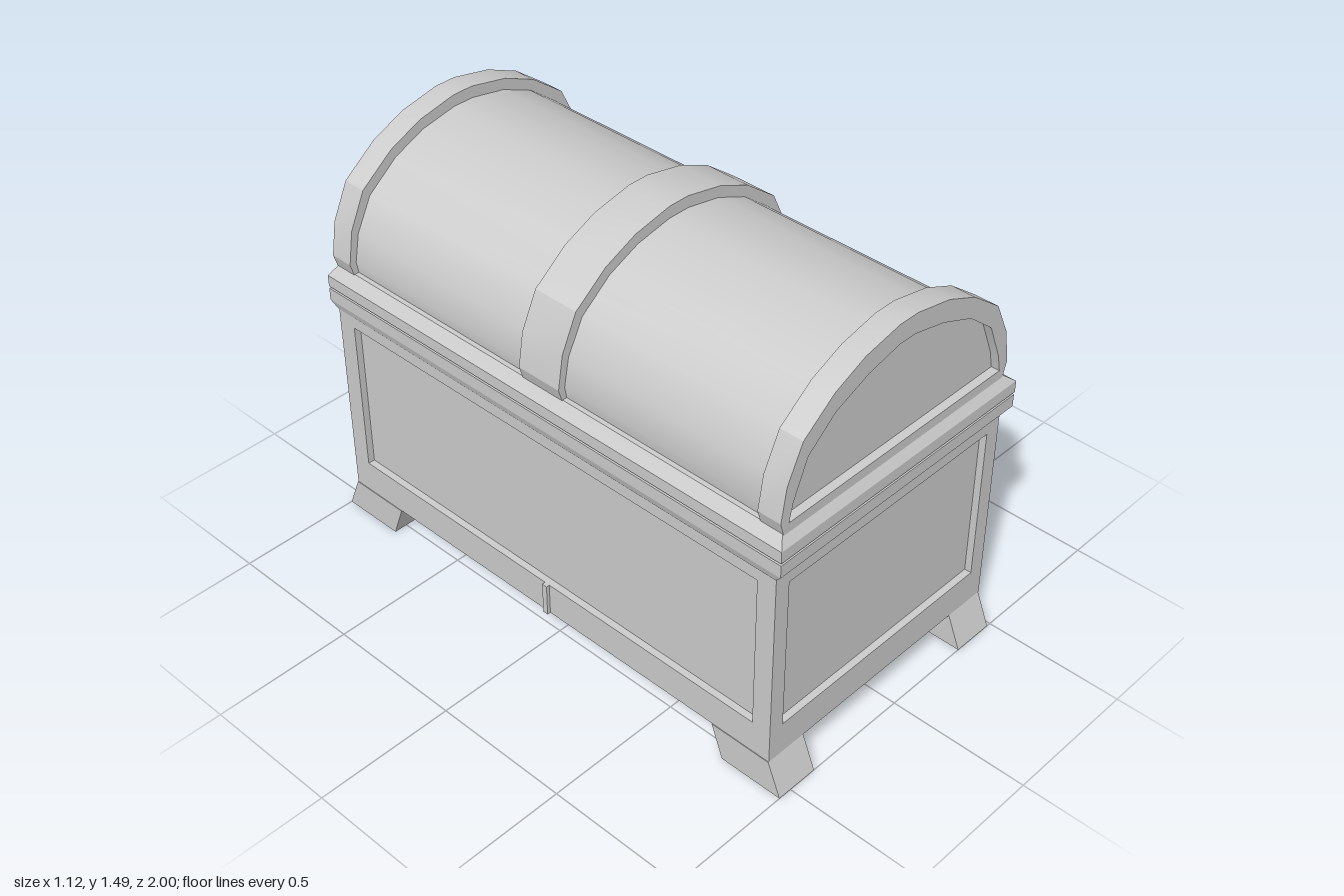
import * as THREE from 'three';
import { toCreasedNormals } from 'three/addons/utils/BufferGeometryUtils.js';

const CX = -0.03; // middle of the chest body in x
const material = new THREE.MeshStandardMaterial({ color: 0xcccccc });

export function createModel() {
  const chest = new THREE.Group();

  const add = (name, geometry) => {
    const mesh = new THREE.Mesh(geometry, material);
    mesh.name = name;
    chest.add(mesh);
    return mesh;
  };

  // Box whose bottom and top rectangles differ: [y, x0, x1, z0, z1]
  const taperBox = (bottom, top) => {
    const g = new THREE.BoxGeometry(1, 1, 1).toNonIndexed();
    const p = g.attributes.position;
    for (let i = 0; i < p.count; i++) {
      const [y, x0, x1, z0, z1] = p.getY(i) > 0 ? top : bottom;
      p.setXYZ(i, p.getX(i) > 0 ? x1 : x0, y, p.getZ(i) > 0 ? z1 : z0);
    }
    g.computeVertexNormals();
    return g;
  };

  const points = (list) => list.map(([x, y]) => new THREE.Vector2(x, y));

  // Extrude a profile along z between z0 and z1
  const extrude = (shape, z0, z1, crease = 0.3) => {
    const g = new THREE.ExtrudeGeometry(shape, { depth: z1 - z0, bevelEnabled: false, curveSegments: 8 });
    g.translate(0, 0, z0);
    return toCreasedNormals(g, crease);
  };

  // Mirror half an arch about the middle of the chest
  const arch = (half) => points([
    ...half.map(([x, y]) => [CX + x, y]),
    ...half.slice().reverse().map(([x, y]) => [CX - x, y]),
  ]);

  // Body core and recessed panel frames
  const core = new THREE.BoxGeometry(0.985, 0.74, 1.85);
  core.translate(CX, 0.49, 0);
  add('bodyCore', core);

  const frame = (halfWidth, halfHole) => {
    const shape = new THREE.Shape(points([
      [-halfWidth, 0.12], [halfWidth, 0.12], [halfWidth, 0.86], [-halfWidth, 0.86]]));
    shape.holes.push(new THREE.Path(points([
      [-halfHole, 0.24], [-halfHole, 0.81], [halfHole, 0.81], [halfHole, 0.24]])));
    return extrude(shape, -0.025, 0);
  };
  for (const s of [1, -1]) {
    const end = add(s > 0 ? 'frontFrame' : 'backFrame', frame(0.5175, 0.46));
    end.position.set(CX, 0, s * 0.95);
    end.rotation.y = s > 0 ? 0 : Math.PI;
    const side = add(s > 0 ? 'leftFrame' : 'rightFrame', frame(0.95, 0.88));
    side.position.x = CX + s * 0.5175;
    side.rotation.y = s * Math.PI / 2;
  }

  // Flared feet
  for (const [x0, x1] of [[-0.55, -0.39], [0.33, 0.485]]) {
    add('foot', taperBox([0, x0, x1, 0.765, 1], [0.12, x0, x1, 0.72, 0.95]));
    add('foot', taperBox([0, x0, x1, -1, -0.765], [0.12, x0, x1, -0.95, -0.72]));
  }

  // Moulded rims of body and lid with a narrow gap between them
  const ring = (y, x0, x1, z) => [y, x0, x1, -z, z];
  const rims = [
    ['bodyRimFlare', ring(0.855, -0.55, 0.485, 0.95), ring(0.885, -0.56, 0.515, 0.975)],
    ['bodyRim', ring(0.885, -0.56, 0.515, 0.975), ring(0.93, -0.56, 0.515, 0.975)],
    ['rimGap', ring(0.93, -0.55, 0.49, 0.955), ring(0.938, -0.55, 0.49, 0.955)],
    ['lidRim', ring(0.938, -0.56, 0.518, 0.975), ring(0.98, -0.56, 0.518, 0.975)],
    ['lidRimSlope', ring(0.98, -0.56, 0.518, 0.975), ring(1.018, -0.53, 0.47, 0.95)],
  ];
  for (const [name, bottom, top] of rims) add(name, taperBox(bottom, top));

  // Rounded lid
  const dome = [[0.48, 1.0], [0.49, 1.06], [0.47, 1.16], [0.41, 1.275],
    [0.295, 1.365], [0.175, 1.417], [0.04, 1.443]];
  add('lidDome', extrude(new THREE.Shape(arch(dome)), -0.925, 0.925, 0.7));

  // Raised arches at both ends and the middle strap
  const outer = [[0.5, 1.01], [0.515, 1.06], [0.495, 1.18], [0.435, 1.305],
    [0.31, 1.4], [0.185, 1.455], [0.04, 1.485]];
  const inner = [[0.48, 1.045], [0.465, 1.11], [0.41, 1.24], [0.3, 1.33],
    [0.165, 1.385], [0.035, 1.415]];
  const archShape = new THREE.Shape(arch(outer));
  archShape.holes.push(new THREE.Path(arch(inner)));
  add('frontArch', extrude(archShape, 0.87, 0.955));
  add('backArch', extrude(archShape, -0.955, -0.87));
  add('strap', extrude(new THREE.Shape(arch(outer)), -0.085, 0.085));

  // Hasp folded over the rims
  const hasp = new THREE.Shape(points([
    [0.45, 0.88], [0.535, 0.88], [0.555, 0.92], [0.555, 0.975],
    [0.525, 1.015], [0.45, 1.02]]));
  add('hasp', extrude(hasp, -0.085, 0.085));
  add('haspNeck', taperBox([0.8, 0.48, 0.51, -0.06, 0.06], [0.88, 0.48, 0.535, -0.085, 0.085]));

  // Lock plate with a keyhole
  const plate = new THREE.Shape(points([
    [0, 0.585], [0.07, 0.64], [0.06, 0.81], [-0.06, 0.81], [-0.07, 0.64]]));
  const keyhole = new THREE.Path();
  keyhole.moveTo(0.01, 0.715);
  keyhole.absarc(0, 0.735, 0.023, -1.1, Math.PI + 1.1, false);
  keyhole.lineTo(-0.018, 0.65);
  keyhole.lineTo(0.018, 0.65);
  keyhole.closePath();
  plate.holes.push(keyhole);
  const lock = add('lockPlate', extrude(plate, 0, 0.025));
  lock.position.x = 0.485;
  lock.rotation.y = Math.PI / 2;

  // Small tab low on the hinge side
  const tab = new THREE.BoxGeometry(0.02, 0.12, 0.02);
  tab.translate(-0.55, 0.18, 0);
  add('backTab', tab);

  return chest;
}
